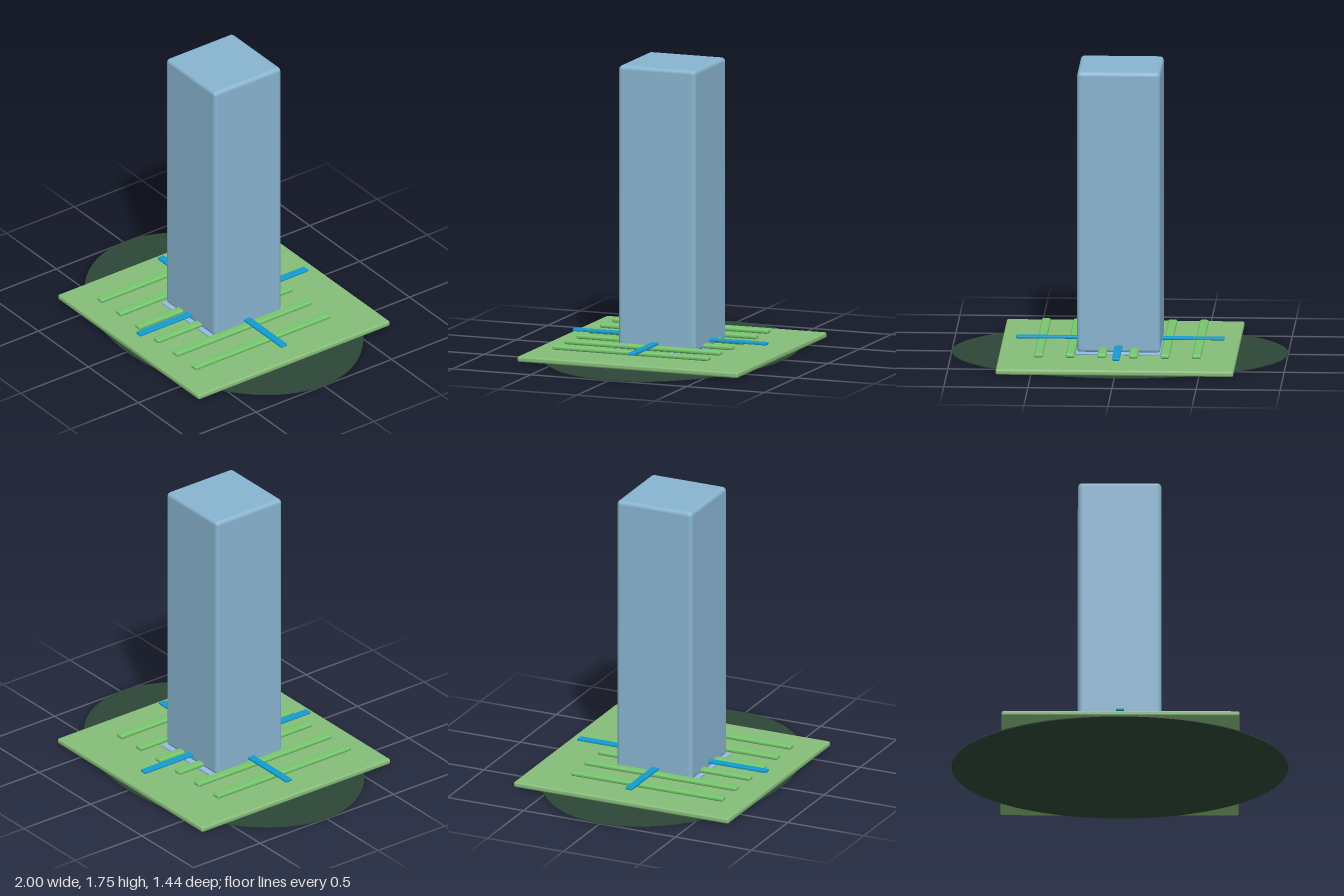
import * as THREE from 'three';
import { RoundedBoxGeometry } from 'three/addons/geometries/RoundedBoxGeometry.js';

const paint = (name, color) => {
  const m = new THREE.MeshStandardMaterial({ color });
  m.name = name;
  return m;
};

export function createModel() {
  const group = new THREE.Group();
  const towerBlue = paint('tower blue', 0x88b4d0);
  const paleBlue = paint('pale blue', 0x92bbdf);
  const brightBlue = paint('bright blue', 0x119dd0);
  const lawnGreen = paint('lawn green', 0x86bd79);
  const hedgeGreen = paint('hedge green', 0x76c66e);
  const darkGreen = paint('dark green', 0x2d4636);

  const add = (name, geometry, material, x, y, z) => {
    const mesh = new THREE.Mesh(geometry, material);
    mesh.name = name;
    mesh.position.set(x, y, z);
    group.add(mesh);
    return mesh;
  };
  // Rounded box given by its size, bottom height and edge radius
  const block = (name, material, [w, h, d], x, bottom, z, r) =>
    add(name, new RoundedBoxGeometry(w, h, d, 3, r), material, x, bottom + h / 2, z);

  // Oval ground disc
  const disc = add('groundDisc', new THREE.CylinderGeometry(1, 1, 0.006, 96), darkGreen, 0, 0.003, 0);
  disc.scale.z = 0.718;

  // Square slab and the thin pad under the tower
  block('baseSlab', lawnGreen, [1.414, 0.034, 1.414], 0, 0.011, 0, 0.012);
  block('towerPad', paleBlue, [0.505, 0.012, 0.55], -0.002, 0.044, -0.003, 0.004);

  // Tower
  block('tower', towerBlue, [0.495, 1.707, 0.495], -0.003, 0.048, 0, 0.025);

  // Six parallel strips
  for (let i = 0; i < 6; i++) {
    block('strip', hedgeGreen, [0.053, 0.026, 1], -0.005 + (i - 2.5) * 0.188, 0.057, 0.07, 0.011);
  }

  // Crossed bars through the foot of the tower
  block('crossBarSide', brightBlue, [1.238, 0.015, 0.045], -0.002, 0.083, 0.01, 0.004);
  block('crossBarFront', brightBlue, [0.045, 0.015, 1.24], -0.003, 0.083, 0.01, 0.004);

  return group;
}
